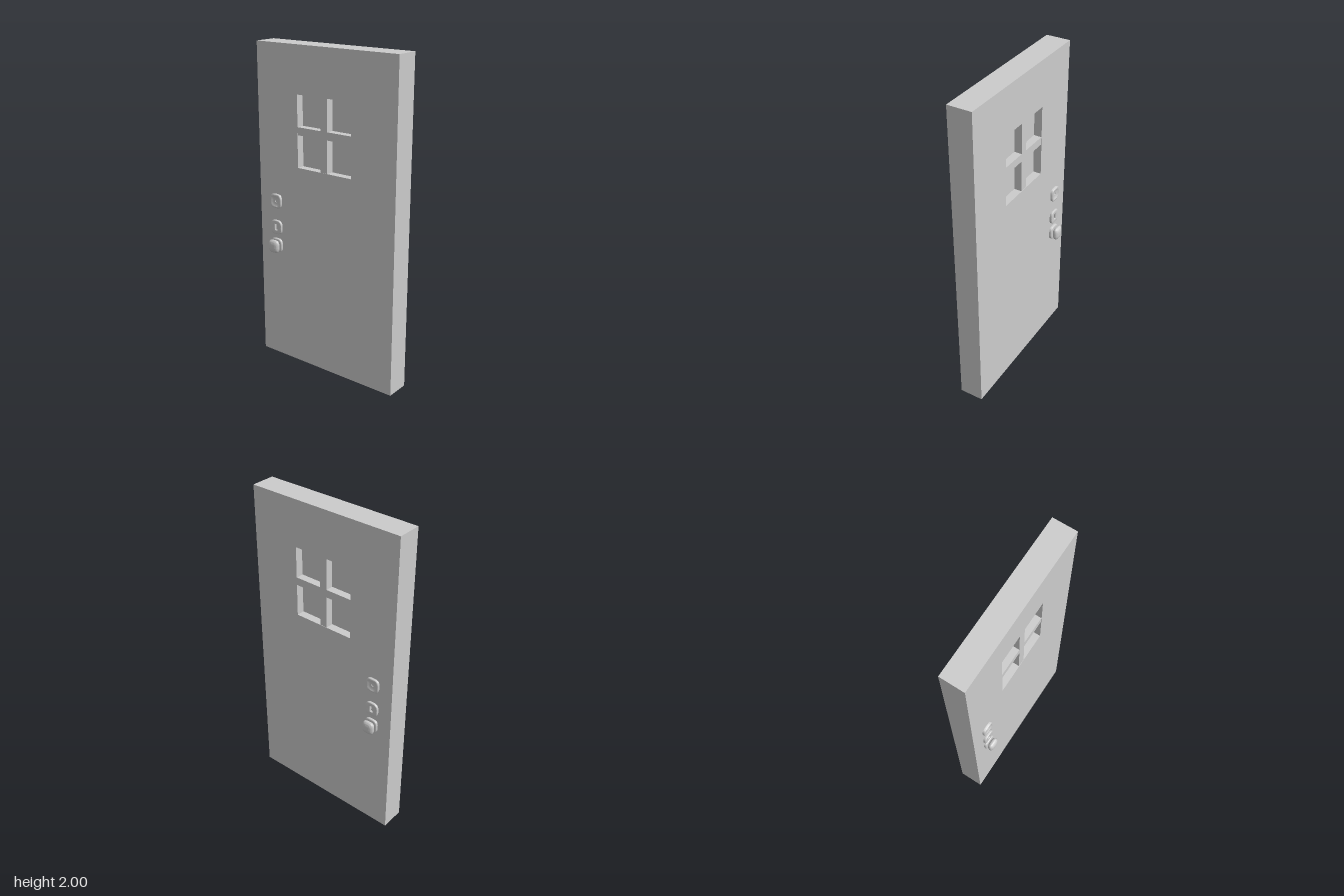
import * as THREE from 'three';
import { mergeVertices, toCreasedNormals } from 'three/addons/utils/BufferGeometryUtils.js';

const grey = new THREE.MeshStandardMaterial({ color: 0xcccccc });
const HALF = 0.0745; // half the door thickness

function mesh(name, geometry, x = 0, y = 0, z = 0) {
  const m = new THREE.Mesh(geometry, grey);
  m.name = name;
  m.position.set(x, y, z);
  return m;
}

// Radius factor of a rounded square at an angle
const squircle = (a) => Math.pow(Math.abs(Math.cos(a)) ** 3.4 + Math.abs(Math.sin(a)) ** 3.4, -1 / 3.4);

// Turned profile [radius, z], squared off around the z axis
function roundedSquareTurning(profile) {
  let g = new THREE.LatheGeometry(profile.map((p) => new THREE.Vector2(...p)), 40);
  g.rotateX(Math.PI / 2);
  g.deleteAttribute('uv');
  g.deleteAttribute('normal');
  const p = g.attributes.position;
  for (let i = 0; i < p.count; i++) {
    const x = p.getX(i), y = p.getY(i), s = squircle(Math.atan2(y, x));
    p.setXY(i, x * s, y * s * 1.06);
  }
  return toCreasedNormals(mergeVertices(g, 1e-5), 0.6);
}

function rect(path, w, h, cx = 0, cy = 0) {
  path.moveTo(cx - w / 2, cy - h / 2);
  path.lineTo(cx + w / 2, cy - h / 2);
  path.lineTo(cx + w / 2, cy + h / 2);
  path.lineTo(cx - w / 2, cy + h / 2);
  path.closePath();
  return path;
}

// Rounded plate with a keyhole slot cut through it
function keyPlate() {
  const pts = [];
  for (let i = 0; i < 40; i++) {
    const a = (i / 40) * Math.PI * 2, r = 0.038 * squircle(a);
    pts.push(new THREE.Vector2(r * Math.cos(a), r * Math.sin(a) * 1.06));
  }
  const shape = new THREE.Shape(pts);
  shape.holes.push(rect(new THREE.Path(), 0.026, 0.046));
  const g = new THREE.ExtrudeGeometry(shape, {
    depth: 0.01, bevelSize: 0.004, bevelThickness: 0.004, bevelSegments: 3,
  });
  g.translate(0, 0, HALF + 0.001);
  return toCreasedNormals(g, 0.6);
}

export function createModel() {
  const door = new THREE.Group();
  door.name = 'door';

  // Slab with a window opening
  const winW = 0.39, winH = 0.436, winY = 1.498;
  const slab = rect(new THREE.Shape(), 1, 2, 0, 1);
  slab.holes.push(rect(new THREE.Path(), winW, winH, 0, winY));
  const slabGeo = new THREE.ExtrudeGeometry(slab, { depth: 2 * HALF, bevelEnabled: false });
  door.add(mesh('slab', slabGeo, 0, 0, -HALF));

  // Window pane and crossing bars
  const barDepth = 2 * HALF - 0.004;
  door.add(mesh('pane', new THREE.BoxGeometry(winW, winH, 0.05), 0, winY));
  door.add(mesh('verticalBar', new THREE.BoxGeometry(0.048, winH, barDepth), 0, winY));
  door.add(mesh('horizontalBar', new THREE.BoxGeometry(winW, 0.048, barDepth), 0, winY + 0.003));

  // Shared hardware shapes, facing +z
  const rosette = roundedSquareTurning([
    [0.042, 0.07], [0.042, 0.086], [0.041, 0.088], [0.038, 0.09], [0.03, 0.09], [0, 0.09],
  ]);
  const dishedPlate = roundedSquareTurning([
    [0.042, 0.07], [0.042, 0.086], [0.041, 0.088], [0.038, 0.09], [0.032, 0.09],
    [0.028, 0.087], [0.015, 0.085], [0.007, 0.084], [0.006, 0.08], [0, 0.08],
  ]);
  const knobProfile = [[0.018, 0.08], [0.018, 0.091]];
  for (let i = 0; i <= 14; i++) {
    const a = -1.25 + (i / 14) * (1.25 + Math.PI / 2);
    const r = i === 14 ? 0 : 0.039 * Math.pow(Math.cos(a), 0.7);
    knobProfile.push([r, 0.1105 + 0.0205 * Math.sin(a)]);
  }
  const knob = roundedSquareTurning(knobProfile);
  const keyhole = keyPlate();

  // The same set on both faces
  for (const [side, turn] of [['front', 0], ['back', Math.PI]]) {
    const set = new THREE.Group();
    set.name = side + 'Hardware';
    set.position.x = -0.369;
    set.rotation.y = turn;
    set.add(
      mesh('boltPlate', dishedPlate, 0, 1.042),
      mesh('keyholePlate', keyhole, 0, 0.873),
      mesh('knobRosette', rosette, 0, 0.754),
      mesh('knob', knob, 0, 0.754),
    );
    door.add(set);
  }
  return door;
}
